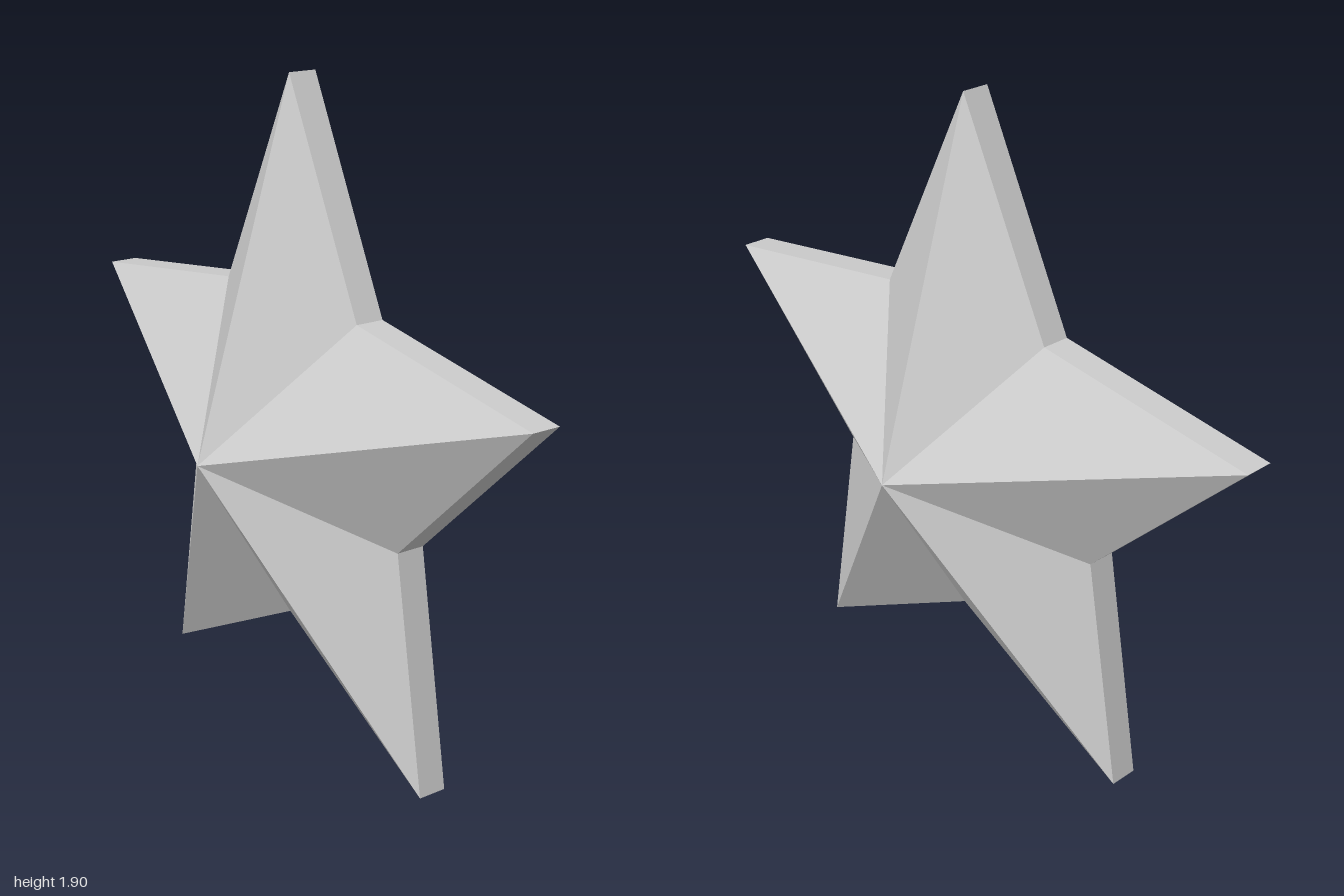
import * as THREE from 'three';

const POINTS = 5;
const OUTER = 1 / Math.sin(Math.PI * 0.4); // tip radius, makes the star 2 wide
const INNER = OUTER / 2;                   // notch radius
const RIM = 0.043;                         // half thickness of the edge band
const PEAK = 0.354;                        // depth of the central peaks
const CENTRE_Y = OUTER * Math.cos(Math.PI / POINTS);

// Corner of the star outline, counter-clockwise from the top tip
function corner(i, z) {
  const a = Math.PI / 2 + (i * Math.PI) / POINTS;
  const r = i % 2 ? INNER : OUTER;
  return [r * Math.cos(a), r * Math.sin(a), z];
}

function facetMesh(name, triangles, material) {
  const geometry = new THREE.BufferGeometry();
  geometry.setAttribute('position', new THREE.Float32BufferAttribute(triangles.flat(), 3));
  geometry.computeVertexNormals();
  const mesh = new THREE.Mesh(geometry, material);
  mesh.name = name;
  return mesh;
}

export function createModel() {
  const material = new THREE.MeshStandardMaterial({ color: 0xcccccc, flatShading: true });
  const front = [], back = [], rim = [];

  for (let i = 0; i < POINTS * 2; i++) {
    const f0 = corner(i, RIM), f1 = corner(i + 1, RIM);
    const b0 = corner(i, -RIM), b1 = corner(i + 1, -RIM);
    front.push([0, 0, PEAK], f0, f1);
    back.push([0, 0, -PEAK], b1, b0);
    rim.push(b0, b1, f1, b0, f1, f0);
  }

  const star = new THREE.Group();
  star.name = 'star';
  star.add(
    facetMesh('frontFacets', front, material),
    facetMesh('backFacets', back, material),
    facetMesh('edgeBand', rim, material)
  );
  star.position.y = CENTRE_Y;

  const model = new THREE.Group();
  model.name = 'facetedStar';
  model.add(star);
  return model;
}
